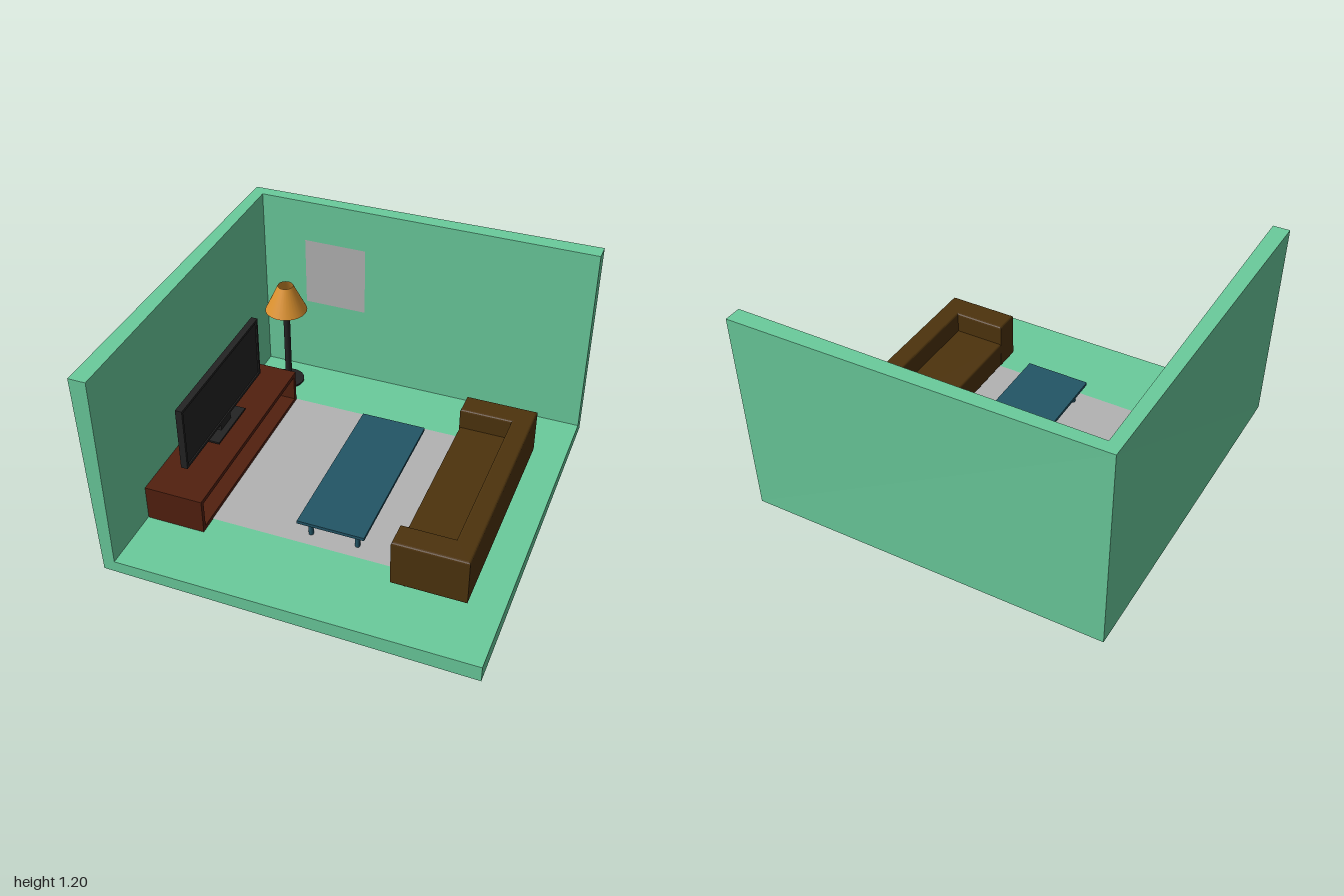
import * as THREE from 'three';
import { RoundedBoxGeometry } from 'three/addons/geometries/RoundedBoxGeometry.js';

function material(name, color, side = THREE.FrontSide) {
  const m = new THREE.MeshStandardMaterial({ color, side });
  m.name = name;
  return m;
}

export function createModel() {
  const root = new THREE.Group();
  root.name = 'livingRoom';

  const green = material('wallGreen', 0x6acb9c);
  const grey = material('paleGrey', 0xb3b3b3, THREE.DoubleSide);
  const redWood = material('redWood', 0x52200f);
  const brown = material('sofaBrown', 0x4d330d);
  const blue = material('tableBlue', 0x225566);
  const black = material('black', 0x232323);
  const orange = material('shadeOrange', 0xdb912f, THREE.DoubleSide);

  const group = (name) => {
    const g = new THREE.Group();
    g.name = name;
    root.add(g);
    return g;
  };
  const add = (parent, name, geometry, mat, x = 0, y = 0, z = 0) => {
    const mesh = new THREE.Mesh(geometry, mat);
    mesh.name = name;
    mesh.position.set(x, y, z);
    parent.add(mesh);
    return mesh;
  };
  // Box given by its limits on each axis
  const box = (parent, name, mat, [x0, x1], [y0, y1], [z0, z1]) =>
    add(parent, name, new THREE.BoxGeometry(x1 - x0, y1 - y0, z1 - z0), mat,
      (x0 + x1) / 2, (y0 + y1) / 2, (z0 + z1) / 2);
  // Upright cylinder between two heights
  const post = (parent, name, mat, r, y0, y1, x, z, sides = 24) =>
    add(parent, name, new THREE.CylinderGeometry(r, r, y1 - y0, sides), mat, x, (y0 + y1) / 2, z);

  const F = 0.092; // floor height

  // Room shell: three inner faces thickened outward along their corner normals
  const W = -0.91, H = 1.2, T = 0.092;
  const corners = {
    a: [W, F, W], b: [W, F, 1], c: [1, F, 1], d: [1, F, W],
    e: [W, H, W], g: [W, H, 1], k: [1, H, W],
  };
  const faceNormals = { abcd: [0, 1, 0], aegb: [1, 0, 0], adke: [0, 0, 1] };
  const outer = {};
  for (const key in corners) {
    const n = new THREE.Vector3();
    for (const face in faceNormals) {
      if (face.includes(key)) n.add(new THREE.Vector3(...faceNormals[face]));
    }
    outer[key] = new THREE.Vector3(...corners[key]).addScaledVector(n.normalize(), -T).toArray();
  }
  const positions = [];
  const quad = (p, q, r, s) => positions.push(...p, ...q, ...r, ...p, ...r, ...s);
  for (const face in faceNormals) {
    const keys = [...face];
    quad(...keys.map((i) => corners[i]));
    quad(...keys.reverse().map((i) => outer[i]));
  }
  const rim = [...'bcdkeg'];
  rim.forEach((u, i) => {
    const v = rim[(i + 1) % rim.length];
    quad(corners[v], corners[u], outer[u], outer[v]);
  });
  const shell = new THREE.BufferGeometry();
  shell.setAttribute('position', new THREE.Float32BufferAttribute(positions, 3));
  shell.computeVertexNormals();
  add(root, 'roomShell', shell, green);

  // Wall panel and rug
  add(root, 'wallPanel', new THREE.PlaneGeometry(0.36, 0.405), grey, -0.477, 0.757, W + 0.004);
  const rug = new THREE.PlaneGeometry(1.25, 1.105).rotateX(-Math.PI / 2);
  add(root, 'rug', rug, grey, -0.06, F + 0.004, -0.012);

  // Low cabinet, open toward the sofa
  const cabinet = group('cabinet');
  const cx = [-0.908, -0.59], cz = [-0.56, 0.645], top = 0.292, t = 0.025;
  box(cabinet, 'cabinetTop', redWood, cx, [top - t, top], cz);
  box(cabinet, 'cabinetBottom', redWood, cx, [F, F + t], cz);
  box(cabinet, 'cabinetBack', redWood, [cx[0], cx[0] + t], [F + t, top - t], cz);
  for (const z of [cz[0], cz[1] - t]) {
    box(cabinet, 'cabinetEnd', redWood, [cx[0] + t, cx[1]], [F + t, top - t], [z, z + t]);
  }

  // Television with a slim raised bezel on a flat stand
  const tv = group('television');
  const sy = [0.352, 0.72], sz = [-0.404, 0.496], bezel = 0.015, bx = [-0.744, -0.736];
  box(tv, 'screen', black, [-0.773, -0.744], sy, sz);
  for (const y of [sy[0], sy[1] - bezel]) box(tv, 'bezelRail', black, bx, [y, y + bezel], sz);
  for (const z of [sz[0], sz[1] - bezel]) {
    box(tv, 'bezelSide', black, bx, [sy[0] + bezel, sy[1] - bezel], [z, z + bezel]);
  }
  box(tv, 'standNeck', black, [-0.763, -0.738], [0.31, 0.355], [-0.015, 0.1]);
  box(tv, 'standBase', black, [-0.8, -0.702], [0.303, 0.313], [-0.203, 0.123].map((z) => -z).reverse());

  // Floor lamp
  const lamp = group('floorLamp');
  const lx = -0.713, lz = -0.737;
  post(lamp, 'lampBase', black, 0.09, F, 0.102, lx, lz, 32);
  post(lamp, 'lampPole', black, 0.019, 0.1, 0.6, lx, lz);
  add(lamp, 'lampShade', new THREE.CylinderGeometry(0.044, 0.12, 0.16, 32, 1, true), orange, lx, 0.665, lz);

  // Coffee table
  const table = group('coffeeTable');
  box(table, 'tableTop', blue, [-0.125, 0.238], [0.193, 0.211], [-0.433, 0.514]);
  for (const x of [-0.07, 0.184]) {
    for (const z of [-0.375, 0.46]) post(table, 'tableLeg', blue, 0.013, F, 0.195, x, z, 16);
  }

  // Sofa: U-shaped back and arms drawn in plan, with a softened edge
  const sofa = group('sofa');
  const r = 0.012;
  const plan = [
    [0.43, 0.665], [0.825, 0.665], [0.825, -0.578], [0.43, -0.578],
    [0.43, -0.445], [0.715, -0.445], [0.715, 0.525], [0.43, 0.525],
  ];
  // Inset each plan corner by the bevel so the outline keeps its size
  const inset = [[1, -1], [-1, -1], [-1, 1], [1, 1], [1, -1], [1, -1], [1, 1], [1, 1]];
  const outline = new THREE.Shape(plan.map(([x, z], i) =>
    new THREE.Vector2(x + inset[i][0] * r, -(z + inset[i][1] * r))));
  const frame = new THREE.ExtrudeGeometry(outline, {
    depth: 0.27 - 2 * r, bevelEnabled: true, bevelThickness: r, bevelSize: r, bevelSegments: 3,
  }).rotateX(-Math.PI / 2);
  add(sofa, 'sofaFrame', frame, brown, 0, 0.112 + r, 0);
  add(sofa, 'sofaSeat', new RoundedBoxGeometry(0.31, 0.15, 1.0, 3, 0.012), brown, 0.587, 0.188, 0.04);
  for (const x of [0.5, 0.757]) {
    for (const z of [-0.517, 0.615]) post(sofa, 'sofaLeg', redWood, 0.025, F, 0.12, x, z, 16);
  }

  return root;
}
